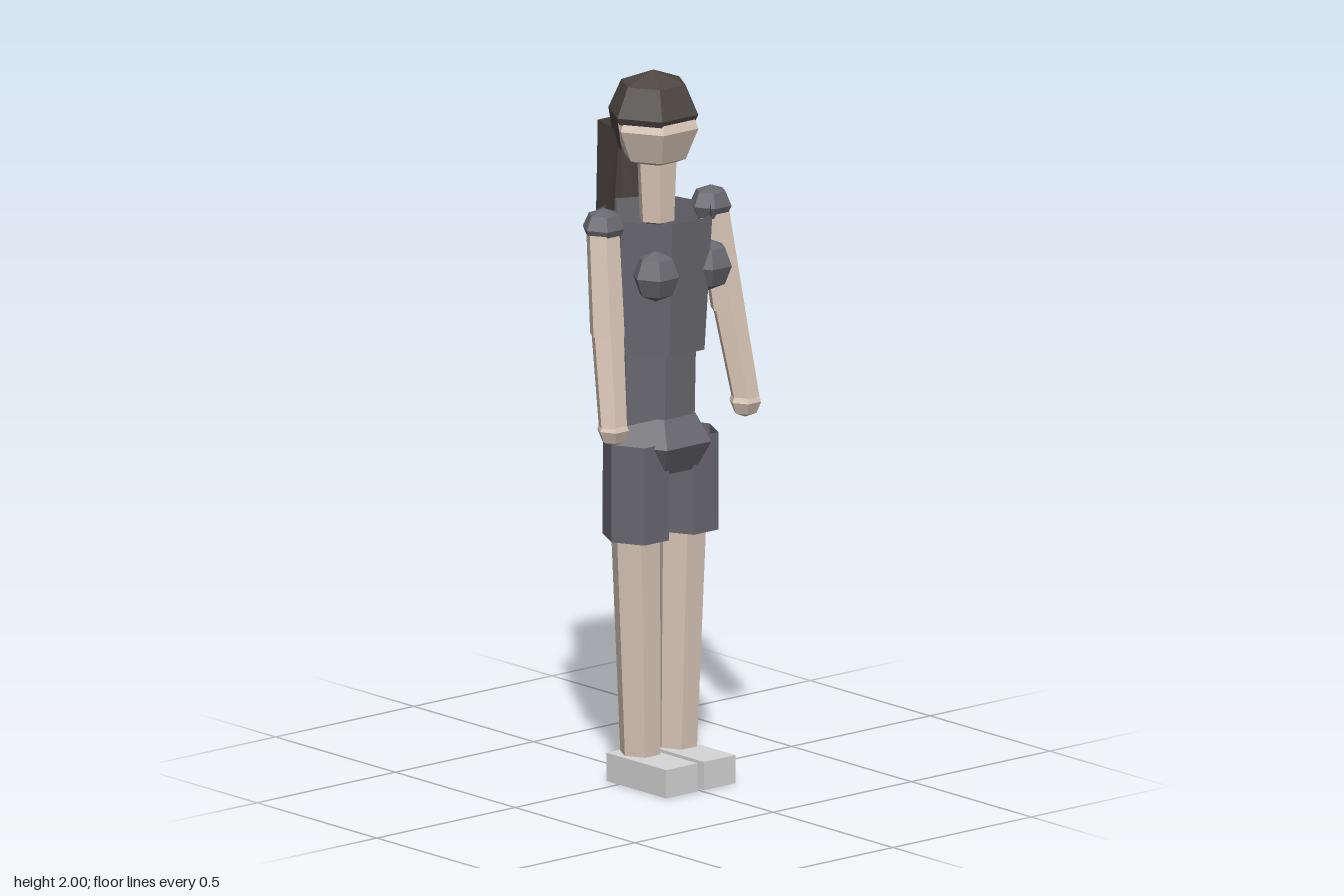
import * as THREE from 'three';

const flat = (name, color) => {
  const m = new THREE.MeshStandardMaterial({ color, flatShading: true, side: THREE.DoubleSide });
  m.name = name;
  return m;
};

// Skin through horizontal rings [y, radius, x, z, depthRadius], listed top to bottom.
// Angle 0 points to the back (-z), a quarter turn to +x.
function loft(rings, sides = 6, start = Math.PI / 2, arc = Math.PI * 2) {
  const pos = [], index = [], row = sides + 1;
  for (const [y, r, x = 0, z = 0, rz = r] of rings) {
    for (let i = 0; i <= sides; i++) {
      const a = start + (arc * i) / sides;
      pos.push(x + r * Math.sin(a), y, z - rz * Math.cos(a));
    }
  }
  for (let j = 0; j < rings.length - 1; j++) {
    for (let i = 0; i < sides; i++) {
      const up = j * row + i, low = up + row;
      if (rings[j + 1][1] > 0) index.push(low, up, low + 1);
      if (rings[j][1] > 0) index.push(up, up + 1, low + 1);
    }
  }
  const g = new THREE.BufferGeometry();
  g.setAttribute('position', new THREE.Float32BufferAttribute(pos, 3));
  g.setIndex(index);
  g.computeVertexNormals();
  return g;
}

export function createModel() {
  const model = new THREE.Group();
  model.name = 'figure';
  const skin = flat('skin', 0xd8c5b6);
  const suit = flat('suit', 0x68686f);
  const hair = flat('hair', 0x4d4643);
  const shoe = flat('shoe', 0xd6d6d6);

  const add = (name, geometry, material, x = 0, y = 0, z = 0) => {
    const mesh = new THREE.Mesh(geometry, material);
    mesh.name = name;
    mesh.position.set(x, y, z);
    model.add(mesh);
    return mesh;
  };
  const ball = (r) => new THREE.SphereGeometry(r, 6, 4);

  // Head, neck and hair
  add('head', ball(0.125), skin, 0, 1.845, 0.008);
  add('neck', loft([[1.78, 0.062, 0, 0.015, 0.055], [1.58, 0.05, 0, 0.015]]), skin);
  add('hairCap', loft([[2.0, 0], [1.965, 0.093], [1.883, 0.13], [1.862, 0.12]]), hair);
  const back = [3, -Math.PI / 2, Math.PI];
  add('backHair', loft([[1.883, 0.13], [1.79, 0.115]], ...back), hair);
  add('ponytail', loft([[1.83, 0.09, 0, -0.04, 0.162], [1.187, 0.092, 0, -0.095, 0.117]], ...back), hair);

  // Trunk: open seven-sided shells with a ridge along the spine
  add('torso', loft([[1.605, 0.167, 0, 0.012], [1.225, 0.148, 0, 0.006]], 7, 0), suit);
  add('waist', loft([[1.24, 0.127], [0.98, 0.122]], 7, 0), suit);
  add('pelvis', loft([
    [1.07, 0], [1.04, 0.115], [0.965, 0.16], [0.885, 0.115], [0.86, 0],
  ].map(([y, r]) => [y, r, 0, 0.012])), suit);

  // Paired parts, left (+x) and right (-x)
  for (const s of [1, -1]) {
    const side = s > 0 ? 'left' : 'right';
    add(side + 'Chest', ball(0.068), suit, s * 0.095, 1.457, 0.12).scale.y = 1.07;
    add(side + 'Shoulder', ball(0.06), suit, s * 0.194, 1.59, 0.016).scale.y = 0.92;
    add(side + 'UpperArm', loft([
      [1.58, 0.048, s * 0.198, 0.018], [1.3, 0.05, s * 0.218, 0.06],
    ]), skin);
    add(side + 'Forearm', loft([
      [1.315, 0.047, s * 0.218, 0.06], [1.055, 0.041, s * 0.24, 0.108],
    ]), skin);
    add(side + 'Hand', ball(0.046), skin, s * 0.239, 1.045, 0.108);
    add(side + 'ShortsLeg', loft([
      [0.975, 0.088, s * 0.089, 0.03, 0.101], [0.7, 0.089, s * 0.089, 0.03, 0.101],
    ]), suit);
    add(side + 'Leg', loft([
      [0.9, 0.07, s * 0.088, 0.022, 0.076], [0.7, 0.067, s * 0.083, 0.022, 0.073],
      [0.085, 0.056, s * 0.066, 0.022, 0.06],
    ]), skin);
    add(side + 'Shoe', new THREE.BoxGeometry(0.114, 0.08, 0.25), shoe, s * 0.068, 0.04, 0.073);
  }
  return model;
}
